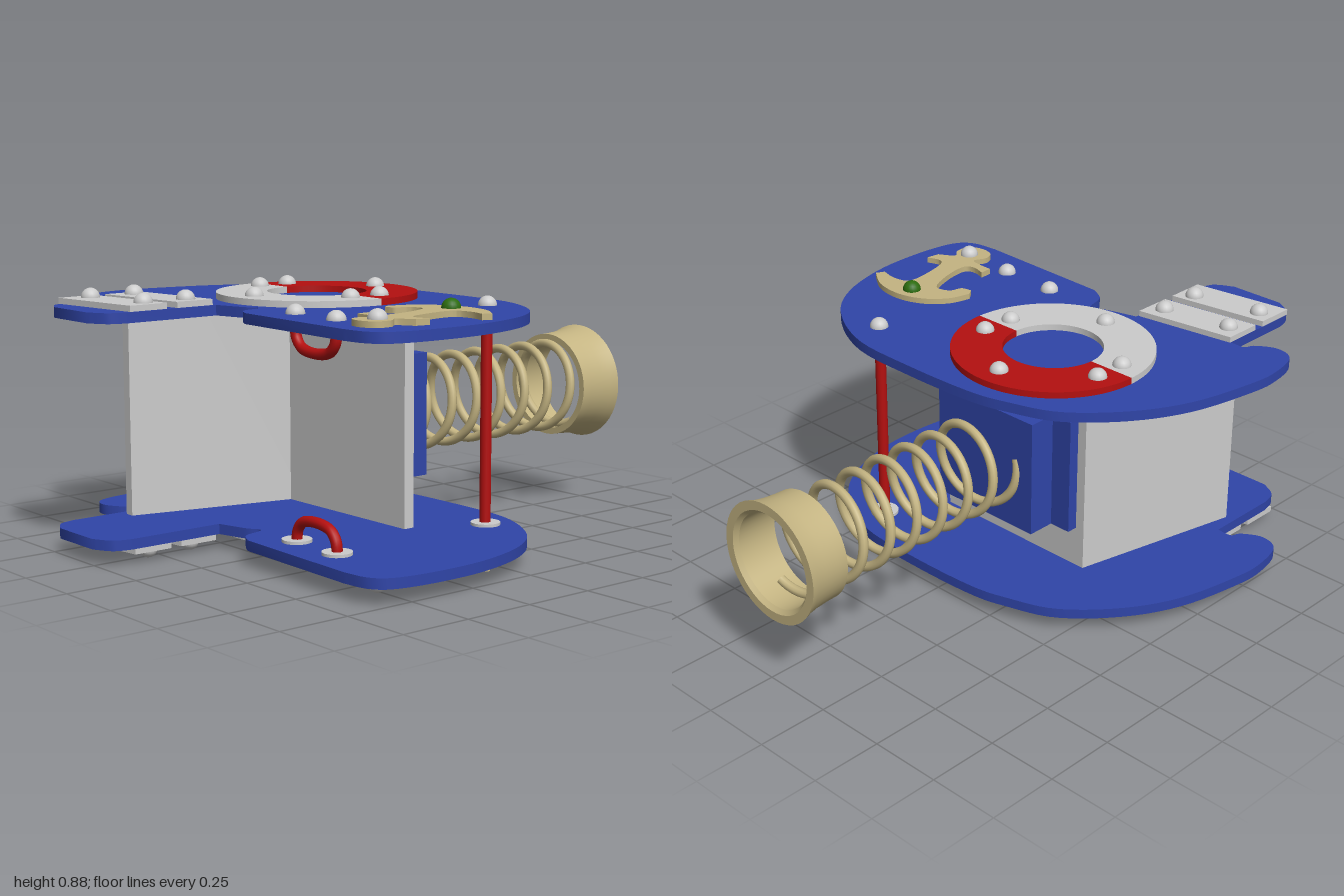
import * as THREE from 'three';
import { toCreasedNormals } from 'three/addons/utils/BufferGeometryUtils.js';

const MID = 0.44; // the two side plates mirror about this height
const mat = (color) => new THREE.MeshStandardMaterial({ color });
const grey = mat(0xcccccc), blue = mat(0x3045a8), red = mat(0xb41010);
const tan = mat(0xc4b482), green = mat(0x2c6c0e);

function add(parent, name, geometry, material, x = 0, y = 0, z = 0) {
  const mesh = new THREE.Mesh(geometry, material);
  mesh.name = name;
  mesh.position.set(x, y, z);
  parent.add(mesh);
  return mesh;
}

// Plan shape (x, z) extruded between two heights
function slab(shape, y0, y1) {
  const g = new THREE.ExtrudeGeometry(shape, { depth: y1 - y0, bevelEnabled: false, curveSegments: 32 });
  g.rotateX(Math.PI / 2);
  g.translate(0, y1, 0);
  return toCreasedNormals(g, 0.6);
}

const vecs = (list) => list.map(([x, z]) => new THREE.Vector2(x, z));
const polygon = (list) => new THREE.Shape(vecs(list));

// Closed outline from smooth runs that are joined by straight lines
function outline(runs) {
  const pts = runs.flatMap((r) => new THREE.SplineCurve(vecs(r)).getPoints(r.length * 5));
  return new THREE.Shape(pts);
}

function halfRing(cx, cz, outer, inner, a0, a1) {
  const s = new THREE.Shape();
  s.absarc(cx, cz, outer, a0, a1, false);
  s.absarc(cx, cz, inner, a1, a0, true);
  return s;
}

const plateShape = outline([
  [[0.08, 0.623], [0.02, 0.585], [0, 0.52], [-0.02, 0.5], [-0.065, 0.525], [-0.175, 0.555]],
  [[-0.175, 0.9], [-0.195, 0.96], [-0.26, 0.998]],
  [[-0.46, 0.998], [-0.52, 0.96], [-0.54, 0.9]],
  [[-0.54, 0.62], [-0.595, 0.62], [-0.615, 0.655], [-0.685, 0.69], [-0.755, 0.66], [-0.785, 0.55],
    [-0.782, 0.43], [-0.73, 0.19], [-0.63, 0], [-0.475, -0.16], [-0.31, -0.228], [-0.165, -0.26],
    [0.11, -0.268], [0.37, -0.25], [0.58, -0.145], [0.7, 0], [0.765, 0.2], [0.777, 0.4],
    [0.755, 0.565], [0.7, 0.63], [0.6, 0.645]],
]);

const anchorShape = outline([
  [[0.345, 0.255], [0.37, 0.175], [0.435, 0.11], [0.53, 0.08], [0.635, 0.095], [0.72, 0.15]],
  [[0.705, 0.18], [0.65, 0.167], [0.595, 0.175], [0.578, 0.21], [0.588, 0.29], [0.61, 0.37],
    [0.64, 0.395], [0.69, 0.38]],
  [[0.683, 0.43], [0.63, 0.465], [0.655, 0.5], [0.652, 0.555], [0.605, 0.58], [0.55, 0.57],
    [0.53, 0.528], [0.546, 0.48], [0.505, 0.468], [0.45, 0.465]],
  [[0.447, 0.42], [0.495, 0.433], [0.53, 0.417], [0.525, 0.343], [0.493, 0.248], [0.462, 0.212],
    [0.415, 0.227], [0.4, 0.27], [0.363, 0.28]],
]);

const strip = (z) => polygon([[-0.54, z + 0.05], [-0.18, z], [-0.18, z + 0.14], [-0.54, z + 0.19]]);

const raisedBolts = [
  [-0.16, -0.115], [-0.42, 0.075], [0.09, 0.075], [-0.42, 0.195], [0.085, 0.195], [-0.16, 0.41],
  [-0.485, 0.675], [-0.235, 0.635], [-0.485, 0.845], [-0.235, 0.8], [0.6, 0.51],
];
const plateBolts = [[0.405, -0.125], [0.195, 0.51], [0.415, 0.52]];

// One side plate with its decorations; dir is 1 for the top, -1 for the bottom
function sidePlate(dir) {
  const g = new THREE.Group();
  g.name = dir > 0 ? 'topPlate' : 'bottomPlate';
  const layer = (name, shape, d0, d1, m) => {
    const a = MID + dir * d0, b = MID + dir * d1;
    add(g, name, slab(shape, Math.min(a, b), Math.max(a, b)), m);
  };
  layer('plate', plateShape, 0.352, 0.387, blue);
  layer('ringBack', halfRing(-0.16, 0.145, 0.345, 0.17, Math.PI, 2 * Math.PI), 0.387, 0.409, red);
  layer('ringFront', halfRing(-0.16, 0.145, 0.345, 0.17, 0, Math.PI), 0.387, 0.409, grey);
  layer('footStrip', strip(0.565), 0.387, 0.407, grey);
  layer('footStrip', strip(0.745), 0.387, 0.407, grey);
  layer('anchorBadge', anchorShape, 0.387, 0.407, tan);

  // Bolt heads
  const ball = new THREE.SphereGeometry(0.032, 20, 14);
  for (const [x, z] of raisedBolts) add(g, 'bolt', ball, grey, x, MID + dir * 0.407, z);
  add(g, 'greenBolt', ball, green, 0.52, MID + dir * 0.407, 0.14);
  const washer = new THREE.CylinderGeometry(0.05, 0.05, 0.01, 24);
  for (const [x, z] of plateBolts) {
    add(g, 'bolt', ball, grey, x, MID + dir * 0.387, z);
    add(g, 'washer', washer, grey, x, MID + dir * 0.347, z);
  }

  // Small bent handle on the inner face
  const path = new THREE.CatmullRomCurve3(
    [[0.195, 0.36], [0.2, 0.315], [0.225, 0.285], [0.265, 0.273], [0.345, 0.273], [0.385, 0.285], [0.41, 0.315], [0.415, 0.36]]
      .map(([x, d]) => new THREE.Vector3(x, MID + dir * d, 0.51 + (x - 0.195) * 0.045)));
  add(g, 'handle', new THREE.TubeGeometry(path, 40, 0.018, 12), red);
  return g;
}

// Coil around the z axis
class Coil extends THREE.Curve {
  getPoint(t, target = new THREE.Vector3()) {
    const z = -0.04 - 0.86 * t;
    const a = Math.PI / 2 + (2 * Math.PI * (-0.25 - z)) / 0.1165;
    return target.set(0.154 * Math.cos(a), 0.154 * Math.sin(a), z);
  }
}

export function createModel() {
  const model = new THREE.Group();
  model.name = 'model';
  model.add(sidePlate(1), sidePlate(-1));

  // Inner walls between the plates
  add(model, 'slantedWall', slab(polygon([[-0.505, 0.71], [-0.47, 0.71], [-0.335, 0.13], [-0.335, 0.09], [-0.365, 0.09]]), 0.088, 0.792), grey);
  add(model, 'backWall', new THREE.BoxGeometry(0.62, 0.704, 0.04), grey, -0.025, MID, 0.11);

  // Upright post
  add(model, 'post', new THREE.CylinderGeometry(0.019, 0.019, 0.71, 20), red, 0.403, MID, -0.125);

  // Spring mount, spring and flared cup
  add(model, 'springBlock', new THREE.BoxGeometry(0.44, 0.42, 0.14), blue, -0.03, 0.445, 0.02);
  add(model, 'springBlockBase', new THREE.BoxGeometry(0.52, 0.42, 0.04), blue, -0.07, 0.445, 0.071);
  add(model, 'spring', new THREE.TubeGeometry(new Coil(), 420, 0.016, 10), tan, -0.025, 0.445, 0);
  const cup = new THREE.LatheGeometry(vecs([
    [0.165, 0.84], [0.188, 0.84], [0.189, 0.88], [0.193, 0.93], [0.2, 0.97], [0.21, 1],
    [0.178, 1], [0.165, 0.985], [0.165, 0.84],
  ]), 48);
  cup.rotateX(-Math.PI / 2);
  const cupMat = tan.clone();
  cupMat.side = THREE.DoubleSide;
  add(model, 'cup', toCreasedNormals(cup, 0.5), cupMat, -0.024, 0.445, 0);
  return model;
}
